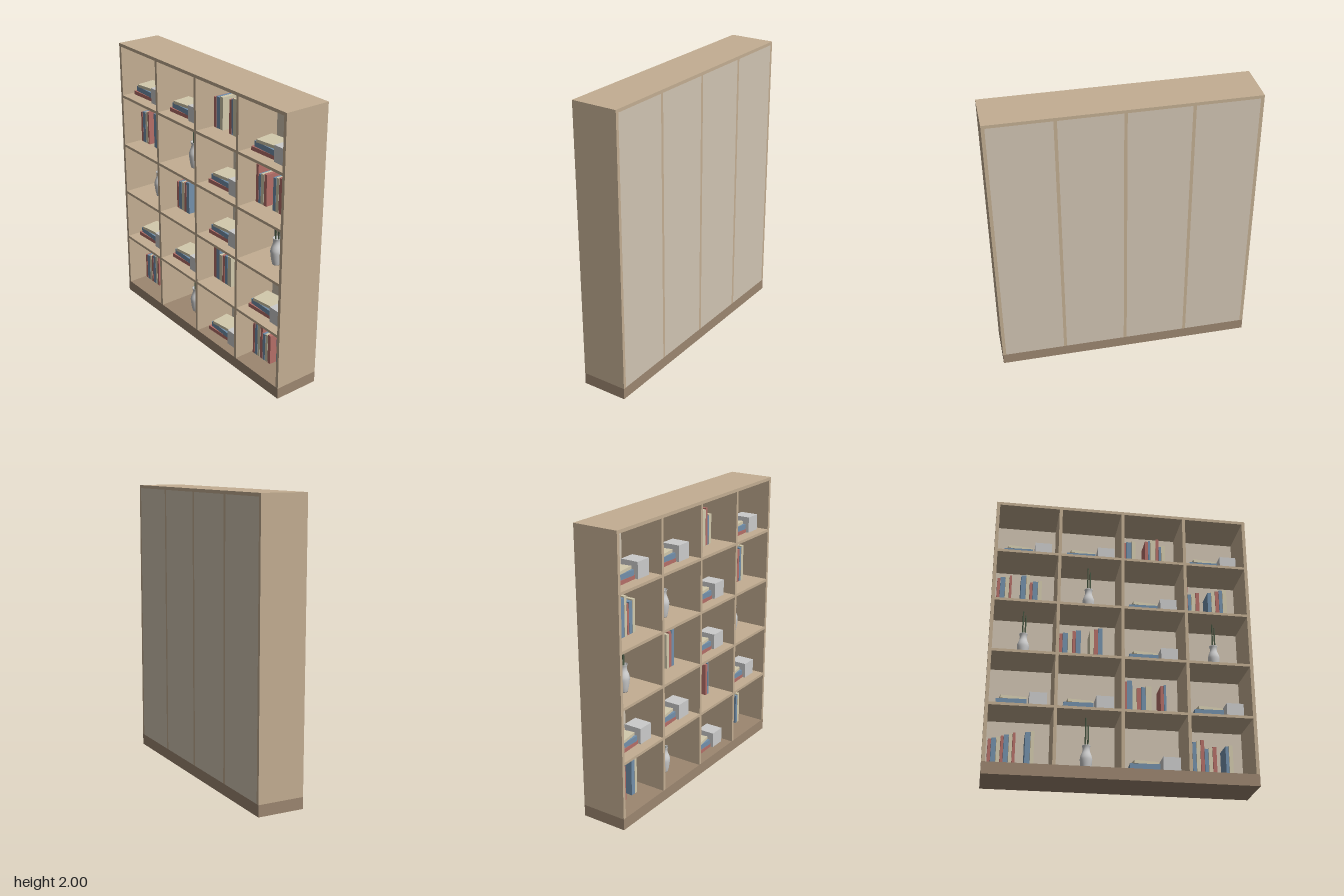
import * as THREE from 'three';

const mat = (color, extra = {}) => new THREE.MeshStandardMaterial({ color, ...extra });

// Overall sizes
const HALF_W = 0.897, HALF_D = 0.163, PLINTH = 0.08, TOP = 1.996;
const SIDE = 0.023, DIVIDER = 0.022, SHELF = 0.019, PANEL = 0.012;
const COLS = 4, ROWS = 5;
const CELL_W = (2 * (HALF_W - SIDE) - (COLS - 1) * DIVIDER) / COLS;
const cellX = (c) => (c - (COLS - 1) / 2) * (CELL_W + DIVIDER);
const floorY = (r) => (r === 0 ? PLINTH : 0.482 + 0.378 * (r - 1));

// Upright books per cell: start of the height ramp, then widths in
// thousandths (a negative width is a gap)
const BOOK_ROWS = {
  '0,0': [0.0, [22, 33, 27, 20, 33, 24, 20, -60, 36, 25]],
  '0,3': [0.04, [22, 27, 28, 27, 27, 28, 28, -60, 23, 28]],
  '1,2': [0.055, [26, 37, 30, 30, 32, 40, -60, 24, 17]],
  '2,1': [0.005, [24, 36, 31, 24, 35, -62, 28, 28, 33]],
  '3,0': [0.0255, [22, 35, 28, 18, -62, 36, 26, 21, 36, 28]],
  '3,3': [0.062, [25, 24, 31, 28, -60, 28, 28, 28, 26, 31]],
  '4,2': [0.01, [24, 40, 30, -66, 24, 16, 40, 22, 18, 30]],
};

export function createModel() {
  const model = new THREE.Group();
  model.name = 'bookcase';

  const wood = mat(0xc3ae92);
  const plinthWood = mat(0x9c8670);
  const panelWood = mat(0xd0c4b2);
  const grey = mat(0xcccccc);
  const stemGreen = mat(0x4a5a45);
  const covers = [mat(0xb56f68), mat(0x7390ab), mat(0xd3caad)];

  // Box given by its centre in x and z and its bottom in y
  function box(parent, name, material, w, h, d, x, y, z) {
    const mesh = new THREE.Mesh(new THREE.BoxGeometry(w, h, d), material);
    mesh.name = name;
    mesh.position.set(x, y + h / 2, z);
    parent.add(mesh);
    return mesh;
  }

  // Carcass
  const wallH = TOP - PLINTH - DIVIDER;
  box(model, 'plinth', plinthWood, 2 * HALF_W, PLINTH, 2 * HALF_D, 0, 0, 0);
  box(model, 'topBoard', wood, 2 * HALF_W, DIVIDER, 2 * HALF_D, 0, TOP - DIVIDER, 0);
  for (const s of [-1, 1]) {
    box(model, s < 0 ? 'rightSide' : 'leftSide', wood, SIDE, wallH, 2 * HALF_D,
      s * (HALF_W - SIDE / 2), PLINTH, 0);
  }
  for (let c = 0; c < COLS; c++) {
    box(model, 'backPanel', panelWood, CELL_W, wallH, PANEL, cellX(c), PLINTH, -HALF_D + PANEL / 2);
    if (c > 0) {
      box(model, 'divider', wood, DIVIDER, wallH, 2 * HALF_D, (cellX(c) + cellX(c - 1)) / 2, PLINTH, 0);
    }
    for (let r = 1; r < ROWS; r++) {
      box(model, 'shelf', wood, CELL_W, SHELF, 2 * HALF_D - PANEL, cellX(c), floorY(r) - SHELF, PANEL / 2);
    }
  }

  // Vase: smooth outer profile, closed by an inner wall
  const outer = new THREE.SplineCurve([
    [0.026, 0], [0.034, 0.035], [0.041, 0.09], [0.037, 0.118],
    [0.026, 0.148], [0.024, 0.17], [0.029, 0.19],
  ].map(([x, y]) => new THREE.Vector2(x, y))).getPoints(24);
  const vaseGeometry = new THREE.LatheGeometry([
    new THREE.Vector2(0, 0), ...outer,
    new THREE.Vector2(0.025, 0.19), new THREE.Vector2(0.02, 0.165), new THREE.Vector2(0, 0.15),
  ], 28);

  function addVase(parent) {
    const vase = new THREE.Mesh(vaseGeometry, grey);
    vase.name = 'vase';
    vase.position.z = 0.005;
    parent.add(vase);
    for (const [x, z, top] of [[-0.006, 0.01, 0.385], [0.012, 0.0, 0.335]]) {
      const h = top - 0.14;
      const stem = new THREE.Mesh(new THREE.CylinderGeometry(0.0045, 0.0055, h, 8), stemGreen);
      stem.name = 'stem';
      stem.position.set(x, 0.14 + h / 2, z);
      parent.add(stem);
    }
  }

  // Three lying books, each turned a little, beside a plain box
  function addStack(parent) {
    let y = 0;
    [[0.226, 0.027, 0.16, -0.068, 0.04], [0.2, 0.037, 0.15, -0.061, -0.04], [0.172, 0.021, 0.14, -0.059, 0.13]]
      .forEach(([w, h, d, x, turn], i) => {
        box(parent, 'lyingBook', covers[i], w, h, d, x, y, 0.0).rotation.y = turn;
        y += h;
      });
    box(parent, 'storageBox', grey, 0.117, 0.111, 0.13, 0.111, 0, 0.03);
  }

  // Standing books: covers repeat and heights climb, then start again
  function addBooks(parent, start, widths) {
    let x = -CELL_W / 2 + 0.011, k = 0;
    for (const thousandths of widths) {
      const w = Math.abs(thousandths) / 1000;
      if (thousandths > 0) {
        const h = 0.2 + ((start + 0.0083 * k) % 0.0675);
        box(parent, 'standingBook', covers[k % 3], w - 0.002, h, 0.145, x + w / 2, 0, -0.05);
        k++;
      }
      x += w;
    }
  }

  // Contents run diagonally through the cells: books, vase, stack
  for (let r = 0; r < ROWS; r++) {
    for (let c = 0; c < COLS; c++) {
      const cell = new THREE.Group();
      cell.position.set(cellX(c), floorY(r), 0);
      const kind = (r * 2 + c) - 3 * Math.floor((r * 2 + c) / 3);
      const books = BOOK_ROWS[`${r},${c}`];
      if (books) {
        cell.name = 'bookRow';
        addBooks(cell, ...books);
      } else if (kind === 1) {
        cell.name = 'vaseWithStems';
        addVase(cell);
      } else {
        cell.name = 'bookStack';
        addStack(cell);
      }
      model.add(cell);
    }
  }
  return model;
}
